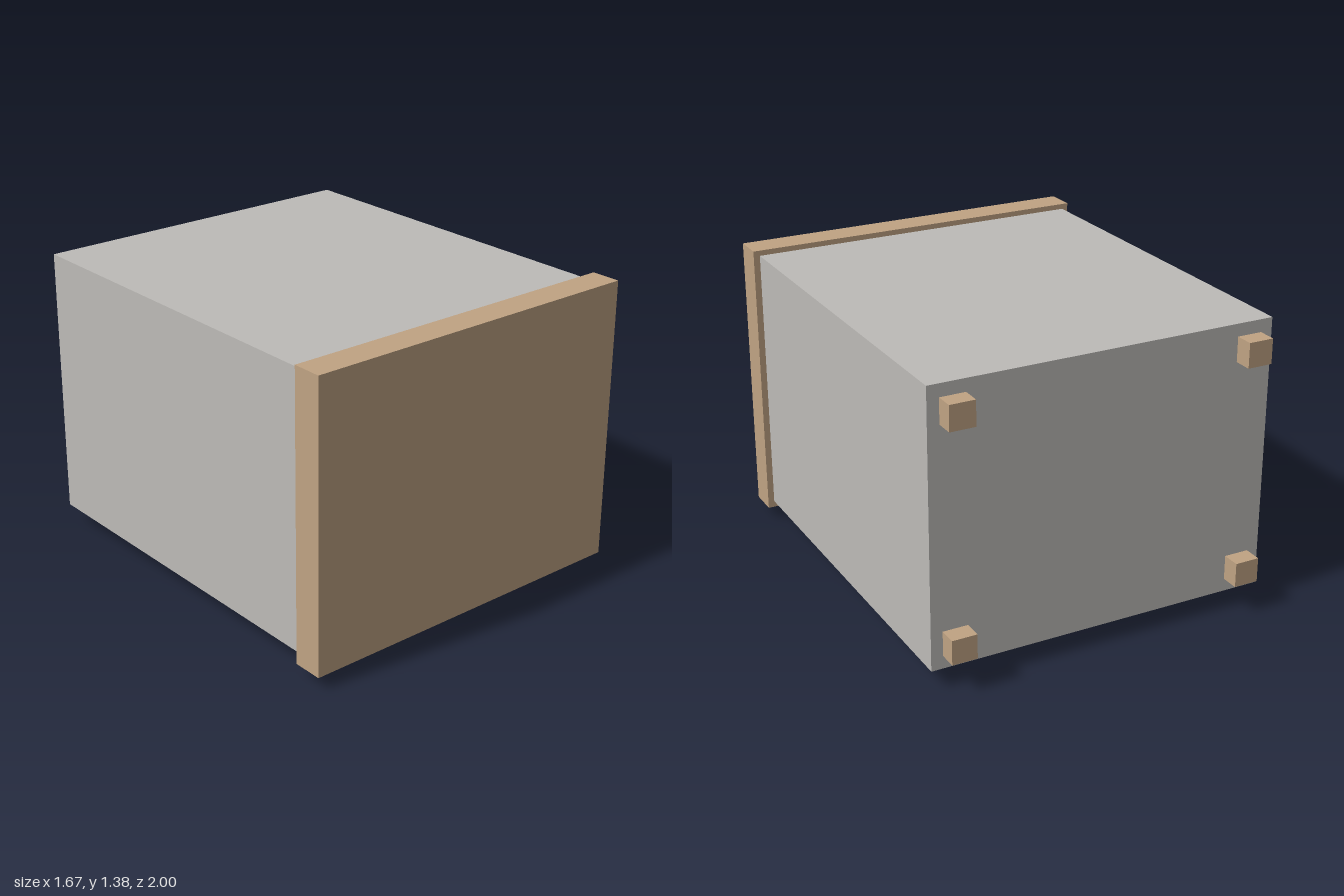
import * as THREE from 'three';

export function createModel() {
  const group = new THREE.Group();
  const wood = new THREE.MeshStandardMaterial({ color: 0xc0a383 });
  wood.name = 'tanWood';
  const shell = new THREE.MeshStandardMaterial({ color: 0xbdbbb8 });
  shell.name = 'lightGrey';

  // Box given by its lower and upper bounds on each axis
  function box(name, material, [x0, x1], [y0, y1], [z0, z1]) {
    const mesh = new THREE.Mesh(new THREE.BoxGeometry(x1 - x0, y1 - y0, z1 - z0), material);
    mesh.position.set((x0 + x1) / 2, (y0 + y1) / 2, (z0 + z1) / 2);
    mesh.name = name;
    group.add(mesh);
  }

  // Main cabinet and its overhanging front panel
  box('body', shell, [-0.805, 0.805], [0.09, 1.355], [-0.915, 0.86]);
  box('frontPanel', wood, [-0.835, 0.835], [0.06, 1.38], [0.86, 1]);

  // Four square blocks on the back
  for (const [side, x] of [['Left', 0.693], ['Right', -0.693]]) {
    for (const [level, y] of [['upper', 1.24], ['lower', 0.207]]) {
      box(`${level}${side}BackBlock`, wood, [x - 0.058, x + 0.058], [y - 0.057, y + 0.057], [-1, -0.915]);
    }
  }

  // Three cross rails underneath
  [0.643, 0.24, -0.277].forEach((z, i) => {
    box(`bottomRail${i + 1}`, shell, [-0.405, 0.405], [0, 0.09], [z - 0.035, z + 0.035]);
  });

  return group;
}
